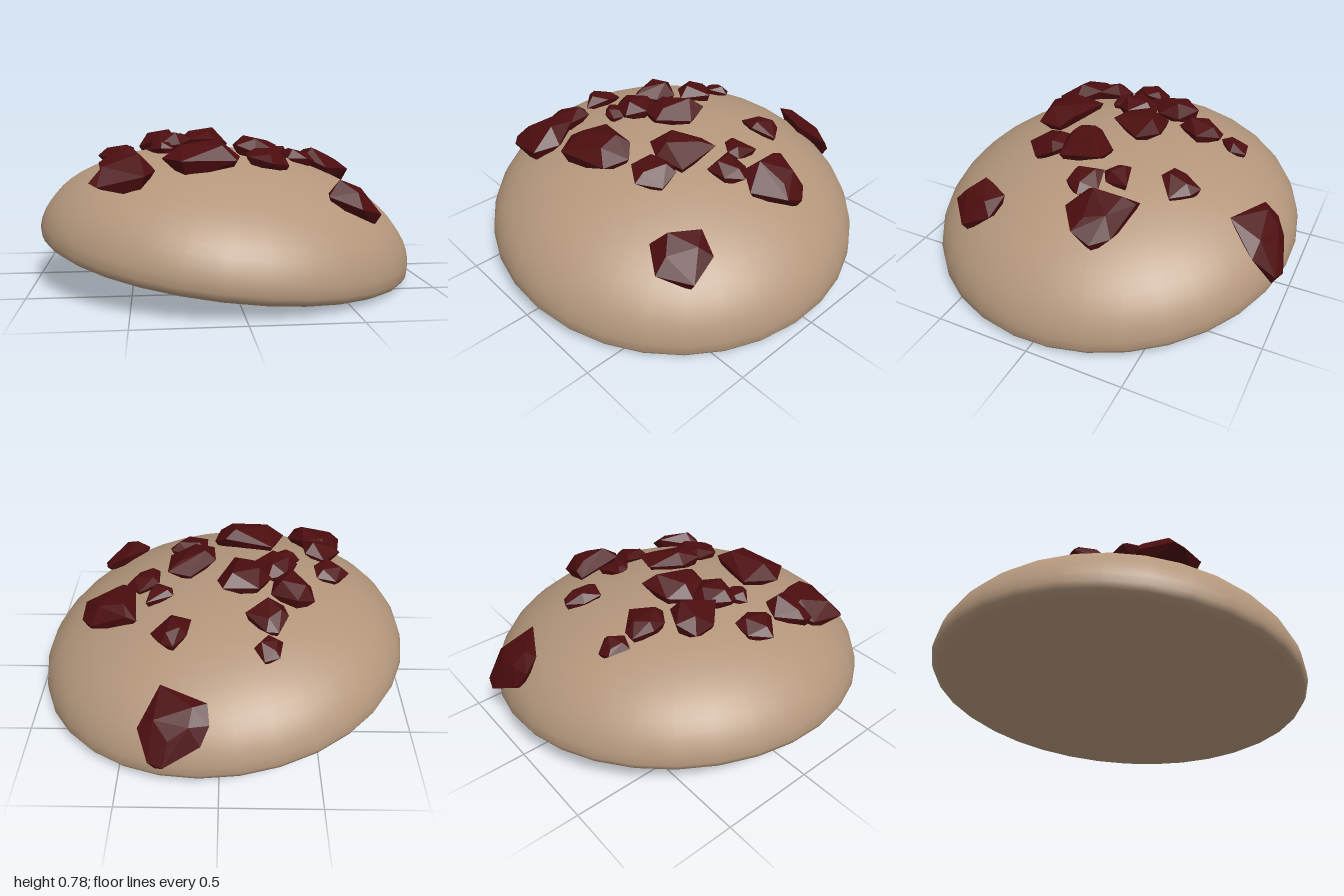
import * as THREE from 'three';
import { ConvexGeometry } from 'three/addons/geometries/ConvexGeometry.js';

const CENTER = new THREE.Vector3(-0.01, 0.113, 0);
const TILT = new THREE.Vector3(0.116, 1, 0.047);
const RADIUS = 0.99, RIM = 0.06, RISE = 0.5;

// Height of the tilted dome at a point seen from above
function domeY(x, z) {
  let h = 0.4;
  for (let i = 0; i < 12; i++) {
    const r = Math.hypot(x - CENTER.x - TILT.x * h, z - CENTER.z - TILT.z * h) / RADIUS;
    h = 0.5 * h + 0.5 * (RIM + RISE * Math.sqrt(Math.max(0, 1 - r * r)));
  }
  return CENTER.y + h - TILT.x * (x - TILT.x * h) - TILT.z * (z - TILT.z * h);
}

// Faceted chunk: outline seen from above (x, z in hundredths) lying on the dome's slope
function chunkGeometry(outline, height) {
  const ring = [];
  for (let i = 0; i < outline.length; i += 2) ring.push([outline[i] / 100, outline[i + 1] / 100]);
  const cx = ring.reduce((s, p) => s + p[0], 0) / ring.length;
  const cz = ring.reduce((s, p) => s + p[1], 0) / ring.length;
  const e = 0.04, flat = 0.75, y0 = domeY(cx, cz);
  const gx = flat * (domeY(cx + e, cz) - domeY(cx - e, cz)) / (2 * e);
  const gz = flat * (domeY(cx, cz + e) - domeY(cx, cz - e)) / (2 * e);
  const pts = [];
  const add = (p, scale, lift) => {
    const dx = (p[0] - cx) * scale, dz = (p[1] - cz) * scale;
    pts.push(new THREE.Vector3(cx + dx, y0 + gx * dx + gz * dz + lift, cz + dz));
  };
  ring.forEach((p, i) => {
    add(p, 1, height * (0.32 + 0.22 * Math.sin(i * 2.3 + cx * 20)));
    if (i % 2 === 0) add(p, 0.55, height * (0.95 + 0.12 * Math.sin(i * 1.7 + cz * 15)));
    else add(p, 0.75, -height * 0.6);
  });
  return new ConvexGeometry(pts);
}

export function createModel() {
  const model = new THREE.Group();
  const dough = new THREE.MeshStandardMaterial({ color: 0xb4977c });
  dough.name = 'tan dough';
  const red = new THREE.MeshStandardMaterial({ color: 0x4c0d0f });
  red.name = 'dark red';

  // Dome with a flat underside and a softly rounded lower rim
  const profile = [[0, 0], [0.6, 0], [0.84, 0], [0.9, 0.003], [0.945, 0.012], [0.975, 0.03]]
    .map(([r, y]) => new THREE.Vector2(r, y));
  for (let i = 0; i <= 16; i++) {
    const a = (i / 16) * Math.PI / 2;
    profile.push(new THREE.Vector2(i === 16 ? 0 : RADIUS * Math.cos(a), RIM + RISE * Math.sin(a)));
  }
  const dome = new THREE.Mesh(new THREE.LatheGeometry(profile, 32, Math.PI / 32), dough);
  dome.name = 'dome';
  dome.position.copy(CENTER);
  dome.quaternion.setFromUnitVectors(new THREE.Vector3(0, 1, 0), TILT.clone().normalize());
  model.add(dome);

  // Chunks scattered over the top
  const chunks = new THREE.Group();
  chunks.name = 'chunks';
  const addChunk = (height, ...outline) => {
    const mesh = new THREE.Mesh(chunkGeometry(outline, height), red);
    mesh.name = 'chunk' + (chunks.children.length + 1);
    chunks.add(mesh);
  };
  // back
  addChunk(0.1, 25, -100, 32, -98, 37, -87, 27, -72, 5, -83, 4, -90, 8, -95);
  addChunk(0.05, -28, -63, -21, -64, -16, -57, -23, -50, -30, -52);
  addChunk(0.07, -33, -40, -28, -49, -22, -49, -12, -39, -22, -26, -31, -32);
  addChunk(0.06, 16, -47, 22, -55, 28, -52, 34, -43, 24, -35, 14, -38);
  // middle
  addChunk(0.09, -47, -26, -38, -31, -25, -24, -27, -12, -36, -4, -46, -14);
  addChunk(0.09, -26, -10, -19, -21, -1, -23, 2, -11, -7, 6, -19, 3);
  addChunk(0.05, 24, -19, 38, -23, 37, -11, 32, -8, 25, -13);
  addChunk(0.1, 42, -32, 47, -32, 66, -28, 72, -20, 71, -10, 56, 1, 45, -6);
  addChunk(0.06, 32, -8, 43, -10, 50, -2, 44, 7, 33, 8);
  addChunk(0.06, -68, 4, -60, -5, -50, -4, -49, 5, -55, 16, -64, 8);
  addChunk(0.08, -40, 3, -34, -9, -24, -10, -18, 3, -25, 12, -37, 10);
  addChunk(0.05, -42, 12, -36, 5, -28, 11, -29, 17, -35, 18);
  addChunk(0.08, 3, 8, 16, -5, 28, -3, 28, 20, 13, 24, 4, 20);
  // front
  addChunk(0.08, -66, 28, -56, 17, -46, 21, -45, 34, -55, 40, -65, 35);
  addChunk(0.1, -69, 54, -66, 36, -58, 27, -46, 33, -38, 47, -43, 60, -65, 58);
  addChunk(0.1, -35, 41, -28, 23, -2, 28, 4, 34, 1, 48, -26, 54);
  addChunk(0.07, 8, 23, 18, 20, 28, 24, 29, 34, 19, 43, 8, 36);
  addChunk(0.09, 45, 51, 57, 35, 68, 38, 71, 53, 58, 65, 44, 56);
  model.add(chunks);
  return model;
}
